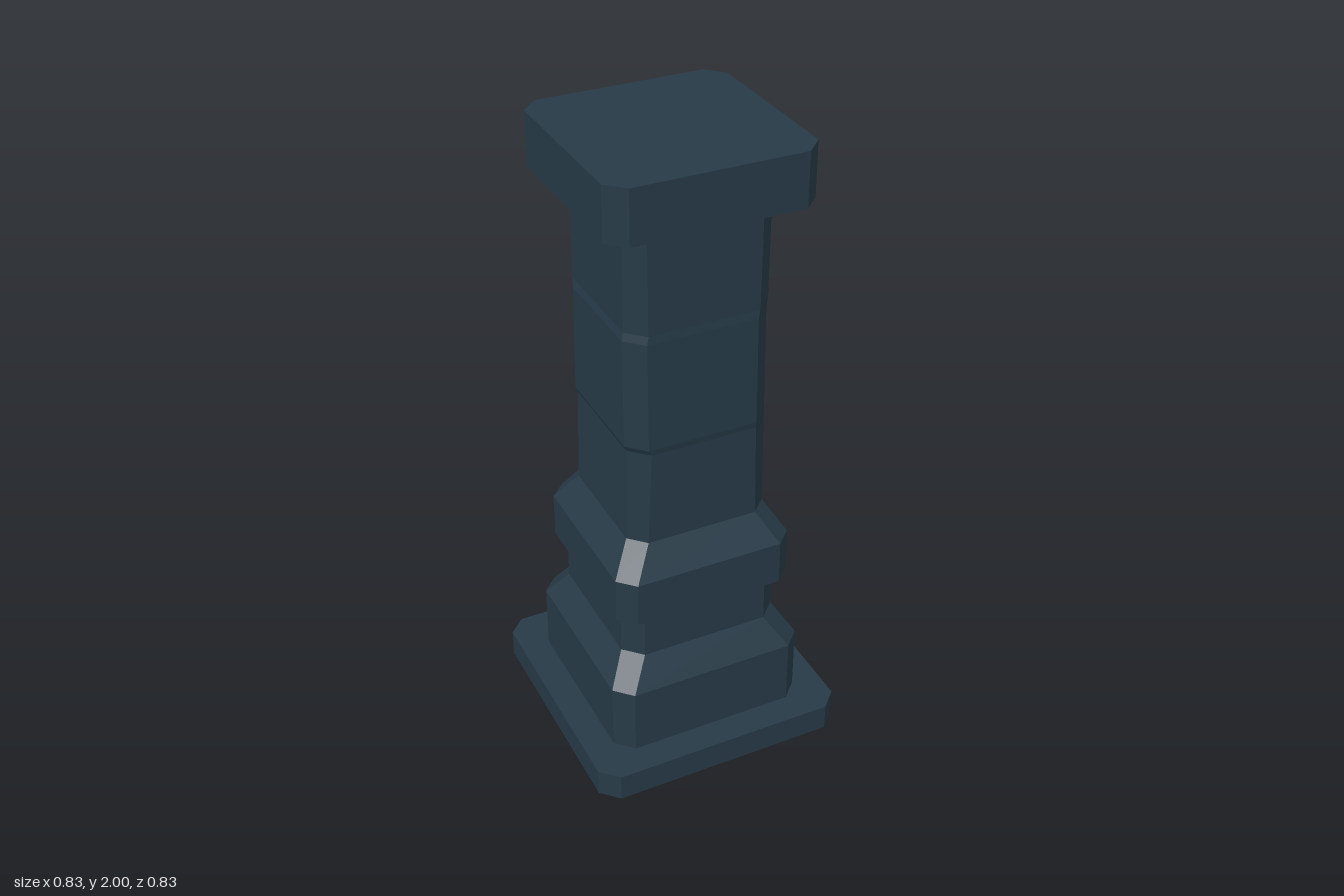
import * as THREE from 'three';

const stone = new THREE.MeshStandardMaterial({ color: 0x263a47 });
stone.name = 'dark slate';

// Chamfered rectangle at height y, counter-clockwise seen from above
function ring([y, x0, x1, z0, z1, c]) {
  return [
    [x1, z1 - c], [x1, z0 + c], [x1 - c, z0], [x0 + c, z0],
    [x0, z0 + c], [x0, z1 - c], [x0 + c, z1], [x1 - c, z1],
  ].map(([x, z]) => [x, y, z]);
}

// Centred square section: height, half width, chamfer
const square = (y, h, c) => [y, -h, h, -h, h, c];

// Flat-faced solid through a stack of sections, capped at both ends
function loft(name, sections) {
  const rings = sections.map(ring);
  const pos = [];
  const tri = (...corners) => corners.forEach((p) => pos.push(...p));
  for (let k = 0; k < rings.length - 1; k++) {
    const lo = rings[k], hi = rings[k + 1];
    for (let i = 0; i < 8; i++) {
      const j = (i + 1) % 8;
      tri(lo[i], lo[j], hi[j]);
      tri(lo[i], hi[j], hi[i]);
    }
  }
  const bottom = rings[0], top = rings[rings.length - 1];
  for (let i = 1; i < 7; i++) {
    tri(bottom[0], bottom[i + 1], bottom[i]);
    tri(top[0], top[i], top[i + 1]);
  }
  const geometry = new THREE.BufferGeometry();
  geometry.setAttribute('position', new THREE.Float32BufferAttribute(pos, 3));
  geometry.computeVertexNormals();
  const mesh = new THREE.Mesh(geometry, stone);
  mesh.name = name;
  return mesh;
}

export function createModel() {
  const column = new THREE.Group();
  column.name = 'column';

  // Stepped foot
  column.add(loft('baseSlab', [square(0, 0.414, 0.053), square(0.09, 0.414, 0.053)]));
  column.add(loft('plinth', [
    square(0.09, 0.32, 0.053), square(0.31, 0.32, 0.053),
    square(0.405, 0.26, 0.055), square(0.56, 0.26, 0.055),
  ]));
  column.add(loft('collar', [
    square(0.56, 0.289, 0.051), square(0.705, 0.289, 0.051),
    [0.8, -0.223, 0.232, -0.234, 0.224, 0.05],
  ]));

  // Worn shaft: slightly shifted sections with shallow ledges
  column.add(loft('shaft', [
    [0.8, -0.223, 0.232, -0.234, 0.224, 0.05],
    [1.11, -0.217, 0.231, -0.234, 0.225, 0.056],
    [1.13, -0.225, 0.227, -0.23, 0.229, 0.053],
    [1.475, -0.225, 0.225, -0.22, 0.224, 0.053],
    [1.5, -0.22, 0.231, -0.234, 0.221, 0.053],
    [1.815, -0.22, 0.231, -0.233, 0.221, 0.051],
  ]));

  // Capital with a shallow sloping underside
  column.add(loft('capital', [
    [1.81, -0.22, 0.231, -0.233, 0.221, 0.051],
    square(1.835, 0.313, 0.053), square(2, 0.313, 0.053),
  ]));

  return column;
}
